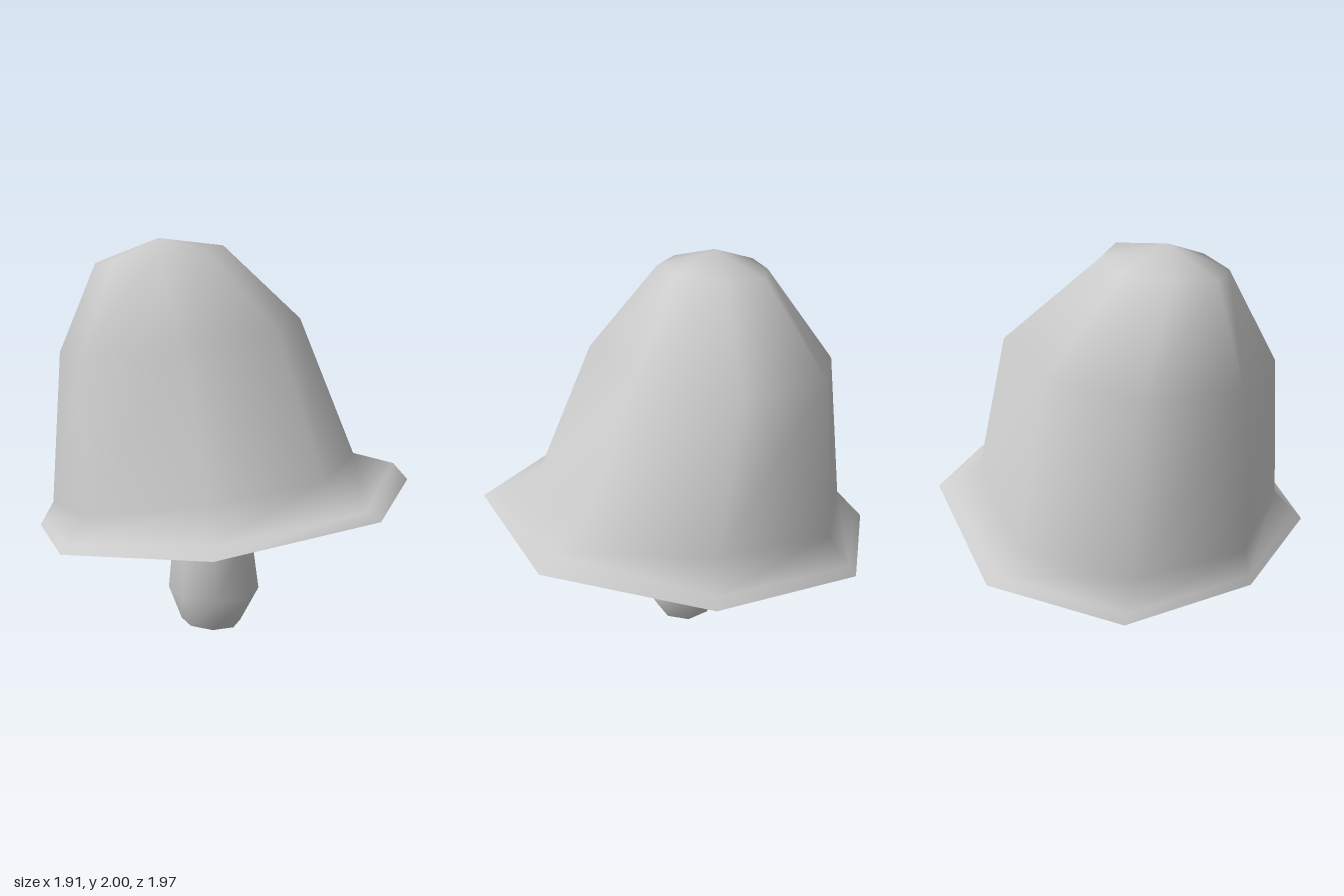
import * as THREE from 'three';

const SIDES = 8;

// Skin a stack of rings (8 points each, or a single point as a pole) with smooth normals.
// Rings run from +x towards +z; stack them upward for walls, outward for undersides.
function loft(name, rings, material) {
  const positions = [], index = [], start = [];
  for (const ring of rings) {
    start.push(positions.length / 3);
    positions.push(...ring.flat());
  }
  const at = (r, i) => start[r] + (i % rings[r].length);
  for (let r = 0; r < rings.length - 1; r++) {
    for (let i = 0; i < SIDES; i++) {
      const a = at(r, i), b = at(r, i + 1), c = at(r + 1, i), d = at(r + 1, i + 1);
      if (c !== d) index.push(b, c, d);
      if (a !== b) index.push(a, c, b);
    }
  }
  const geometry = new THREE.BufferGeometry();
  geometry.setAttribute('position', new THREE.Float32BufferAttribute(positions, 3));
  geometry.setIndex(index);
  geometry.computeVertexNormals();
  const mesh = new THREE.Mesh(geometry, material);
  mesh.name = name;
  return mesh;
}

// Regular ring with its own centre, radius and sideways tilt
function circle(cx, cy, cz, radius, tilt = 0) {
  return Array.from({ length: SIDES }, (_, i) => {
    const a = (i / SIDES) * Math.PI * 2;
    return [cx + radius * Math.cos(a), cy + tilt * Math.cos(a), cz + radius * Math.sin(a)];
  });
}

export function createModel() {
  const group = new THREE.Group();
  group.name = 'mushroom';
  const material = new THREE.MeshStandardMaterial({ color: 0xcccccc, roughness: 0.9 });
  const openMaterial = material.clone();
  openMaterial.side = THREE.DoubleSide;

  // Flared edge of the cap
  const rim = [
    [0.955, 0.775, 0.06], [0.64, 0.765, 0.79], [-0.11, 0.665, 0.98], [-0.785, 0.575, 0.57],
    [-0.955, 0.53, -0.07], [-0.76, 0.515, -0.7], [-0.17, 0.58, -0.985], [0.605, 0.715, -0.695],
  ];
  // Foot of the cap wall
  const foot = [
    [0.67, 0.915, 0.04], [0.42, 0.9, 0.58], [-0.12, 0.84, 0.74], [-0.68, 0.72, 0.47],
    [-0.88, 0.665, -0.03], [-0.69, 0.66, -0.58], [-0.19, 0.73, -0.81], [0.42, 0.84, -0.56],
  ];
  // Shoulder of the cap
  const shoulder = [
    [0.4, 1.6, -0.07], [0.22, 1.58, 0.37], [-0.22, 1.53, 0.53], [-0.69, 1.45, 0.38],
    [-0.82, 1.44, -0.03], [-0.65, 1.45, -0.49], [-0.26, 1.51, -0.69], [0.21, 1.56, -0.53],
  ];
  // Small ring around the tip
  const crown = [
    [0, 1.965, 0], [-0.1, 1.94, 0.2], [-0.32, 1.92, 0.27], [-0.54, 1.89, 0.19],
    [-0.63, 1.88, 0], [-0.51, 1.89, -0.17], [-0.32, 1.91, -0.28], [-0.1, 1.935, -0.2],
  ];
  // Lip just inside the rim, lifted on the high side
  const lip = rim.map((p, i) => p.map((v, k) => v + (foot[i][k] - v) * 0.25));
  lip[0] = [0.88, 0.86, 0.05];
  group.add(loft('cap', [rim, lip, foot, shoulder, crown, [[-0.32, 2, 0.02]]], material));

  // Hollowed underside
  const under = [
    [0.65, 0.75, 0.03], [0.45, 0.72, 0.55], [-0.1, 0.66, 0.68], [-0.58, 0.59, 0.4],
    [-0.7, 0.57, -0.05], [-0.52, 0.56, -0.5], [-0.1, 0.575, -0.72], [0.4, 0.61, -0.5],
  ];
  group.add(loft('capUnderside', [[[-0.05, 0.74, 0]], under, rim], material));

  // Bulbous stem, open at the bottom
  group.add(loft('stem', [
    circle(-0.065, 0.01, -0.005, 0.157, -0.01),
    circle(-0.05, 0.19, 0, 0.238, -0.01),
    circle(-0.055, 0.48, -0.01, 0.205, -0.01),
    circle(-0.075, 0.78, -0.02, 0.17),
  ], openMaterial));

  return group;
}
